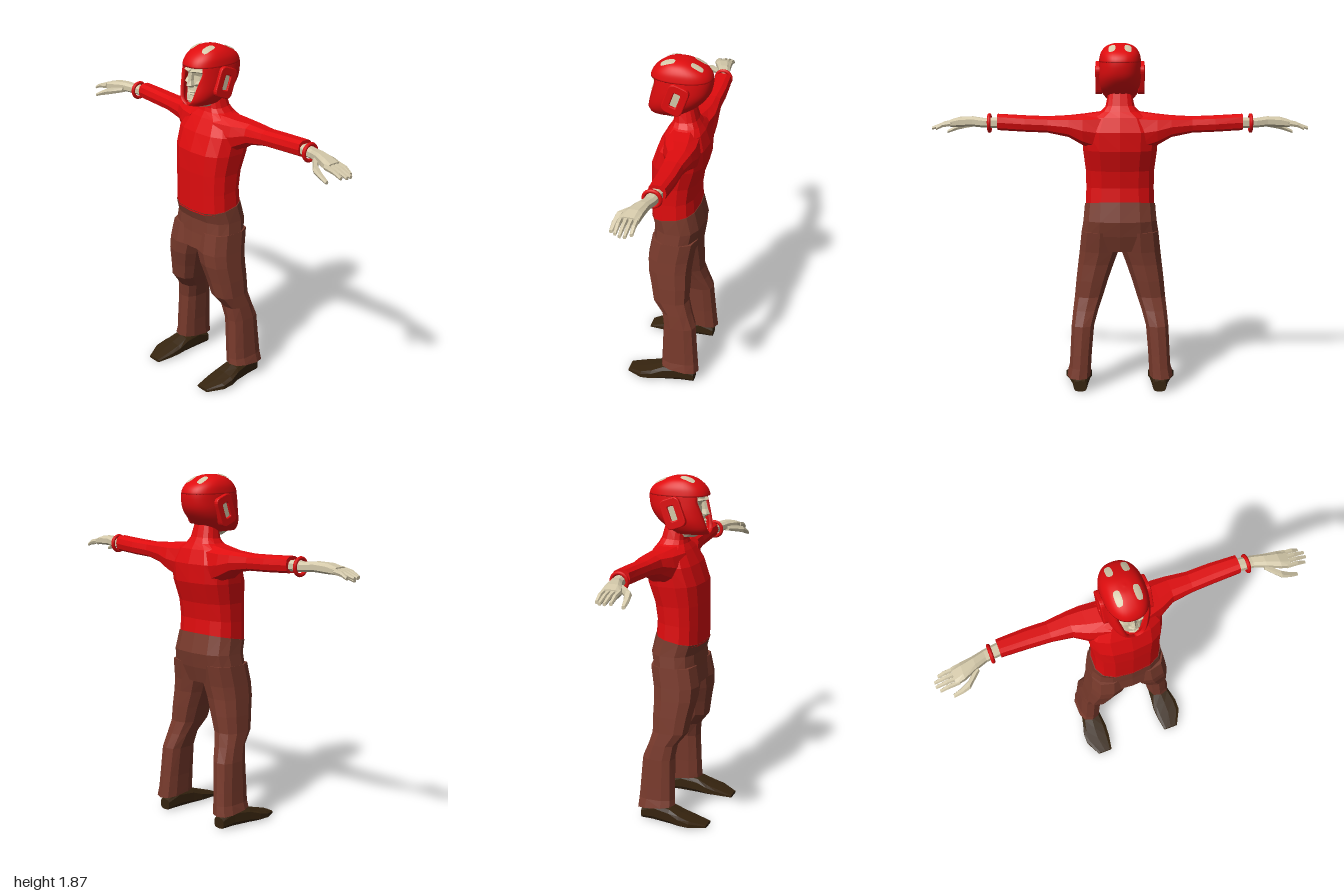
import * as THREE from 'three';

const mat = (name, color) => Object.assign(new THREE.MeshStandardMaterial({ color }), { name });
const V = (x, y, z) => new THREE.Vector3(x, y, z);
const pow = (c, p) => Math.sign(c) * Math.abs(c) ** p;
const lerp = THREE.MathUtils.lerp;

// Rounded-box cross-section across an axis; u and v are the two other axes
function ring(axis, at, u0, u1, v0, v1, n = 10, tilt = 0, p = 0.75) {
  return Array.from({ length: n }, (_, i) => {
    const a = ((i + 0.5) / n) * Math.PI * 2;
    const c = pow(Math.cos(a), p), s = pow(Math.sin(a), p);
    const u = (u0 + u1) / 2 + c * (u1 - u0) / 2, v = (v0 + v1) / 2 + s * (v1 - v0) / 2;
    if (axis === 'y') return V(u, at + tilt * s, v);
    return axis === 'x' ? V(at, u, v) : V(u, v, at);
  });
}

// Skin closed loops into a solid with end caps; faces are turned outward
function loft(rings, smooth = false) {
  const n = rings[0].length, pos = [], idx = [];
  rings.forEach(r => r.forEach(q => pos.push(q.x, q.y, q.z)));
  for (let j = 0; j < rings.length - 1; j++) for (let i = 0; i < n; i++) {
    const a = j * n + i, b = j * n + (i + 1) % n;
    idx.push(a, b, b + n, a, b + n, a + n);
  }
  [0, rings.length - 1].forEach(k => {
    const base = pos.length / 3;
    const flat = rings[k];
    flat.forEach(q => pos.push(q.x, q.y, q.z));
    // Pair opposite corners across the loop, which also suits C-shaped loops
    for (let i = 0; i < n / 2 - 1; i++) {
      const a = base + i, b = base + i + 1, c = base + n - 2 - i, d = base + n - 1 - i;
      if (k) idx.push(a, b, c, a, c, d);
      else idx.push(a, c, b, a, d, c);
    }
  });
  const at = i => V(pos[3 * i], pos[3 * i + 1], pos[3 * i + 2]);
  let volume = 0;
  for (let i = 0; i < idx.length; i += 3) volume += at(idx[i]).dot(at(idx[i + 1]).cross(at(idx[i + 2])));
  if (volume < 0) idx.reverse();
  let g = new THREE.BufferGeometry();
  g.setAttribute('position', new THREE.Float32BufferAttribute(pos, 3));
  g.setIndex(idx);
  if (!smooth) g = g.toNonIndexed();
  g.computeVertexNormals();
  return g;
}

// Helmet shell: rows of height, half width, front z, back z
const ROWS = [
  [1.572, 0.07, 0.13, -0.07], [1.6, 0.092, 0.14, -0.1], [1.64, 0.11, 0.136, -0.148],
  [1.69, 0.116, 0.13, -0.185], [1.74, 0.114, 0.128, -0.198], [1.785, 0.11, 0.122, -0.196],
  [1.82, 0.101, 0.1, -0.17], [1.85, 0.078, 0.06, -0.115], [1.866, 0.042, 0.02, -0.07], [1.87, 0.004, -0.02, -0.028],
];
const sizeCurve = new THREE.CatmullRomCurve3(ROWS.map(r => V(r[1], r[2], r[3])), false, 'catmullrom', 0.5);
const heightCurve = new THREE.CatmullRomCurve3(ROWS.map(r => V(r[0], 0, 0)), false, 'catmullrom', 0.5);
const ROUND = 0.85;
function shell(row, a, inset = 0) {
  const d = sizeCurve.getPoint(row / 9), y = heightCurve.getPoint(row / 9).x;
  return V(pow(Math.sin(a), ROUND) * (d.x - inset), y,
    (d.y + d.z) / 2 + pow(Math.cos(a), ROUND) * ((d.y - d.z) / 2 - inset));
}
function crownHeight(x, z) {
  let lo = 4, hi = 9;
  for (let k = 0; k < 24; k++) {
    const m = (lo + hi) / 2, d = sizeCurve.getPoint(m / 9);
    const f = Math.abs(x / d.x) ** (2 / ROUND) + Math.abs((z - (d.y + d.z) / 2) / ((d.y - d.z) / 2)) ** (2 / ROUND);
    if (f < 1) lo = m; else hi = m;
  }
  return heightCurve.getPoint(lo / 9).x;
}

function roundedPath(path, w, h, r) {
  path.moveTo(-w + r, -h);
  path.lineTo(w - r, -h).quadraticCurveTo(w, -h, w, -h + r);
  path.lineTo(w, h - r).quadraticCurveTo(w, h, w - r, h);
  path.lineTo(-w + r, h).quadraticCurveTo(-w, h, -w, h - r);
  path.lineTo(-w, -h + r).quadraticCurveTo(-w, -h, -w + r, -h);
  return path;
}

export function createModel() {
  const red = mat('red', 0xdf0c0e), skin = mat('skin', 0xd3c8a9);
  const brown = mat('trouserBrown', 0x783a2c), dark = mat('shoeBrown', 0x36240f);
  const root = new THREE.Group();
  root.name = 'figure';
  const add = (name, geo, m) => {
    const mesh = new THREE.Mesh(geo, m);
    mesh.name = name;
    root.add(mesh);
    return mesh;
  };

  // Sweater body with collar: height, half width, front, back, tilt
  add('sweater', loft([
    [1.0, 0.188, 0.109, -0.143, -0.025], [1.1, 0.184, 0.11, -0.137, -0.01], [1.2, 0.186, 0.111, -0.15, 0],
    [1.31, 0.2, 0.107, -0.186, 0], [1.41, 0.205, 0.072, -0.19, 0], [1.485, 0.16, 0.03, -0.165, 0],
    [1.515, 0.1, 0.01, -0.145, 0], [1.54, 0.078, 0.003, -0.128, -0.005], [1.59, 0.066, 0, -0.11, -0.02],
  ].map(([y, w, f, b, t]) => ring('y', y, -w, w, b, f, 14, t))), red);

  // Trouser seat
  add('trouserSeat', loft([
    [1.01, 0.192, 0.11, -0.145, -0.025], [0.93, 0.2, 0.092, -0.17, 0], [0.85, 0.212, 0.097, -0.155, 0],
    [0.765, 0.2, 0.108, -0.13, 0],
  ].map(([y, w, f, b, t]) => ring('y', y, -w, w, b, f, 14, t))), brown);

  for (const s of [1, -1]) {
    const side = s > 0 ? 'left' : 'right';
    const alongX = (rows, n, p) => loft(rows.map(([x, t, b, f, k]) => ring('x', s * x, b, t, k, f, n, 0, p)));

    // Trouser leg: height, inner x, outer x, front, back
    add(side + 'TrouserLeg', loft([
      [0.87, 0.002, 0.21, 0.095, -0.155], [0.76, 0.004, 0.222, 0.115, -0.137], [0.69, 0.03, 0.23, 0.111, -0.13],
      [0.6, 0.062, 0.24, 0.09, -0.13], [0.51, 0.09, 0.248, 0.073, -0.127], [0.44, 0.115, 0.256, 0.018, -0.145],
      [0.36, 0.138, 0.264, 0.008, -0.175], [0.2, 0.152, 0.272, 0.012, -0.188], [0.13, 0.156, 0.276, 0.013, -0.194],
      [0.085, 0.158, 0.288, 0.015, -0.2],
    ].map(([y, i, o, f, b]) => ring('y', y, s * i, s * o, b, f, 10, y < 0.1 ? 0.012 : 0))), brown);

    // Shoe, heel to toe: z, inner x, outer x, top
    add(side + 'Shoe', loft([
      [-0.175, 0.18, 0.25, 0.06], [-0.1, 0.172, 0.262, 0.1], [0, 0.163, 0.285, 0.09],
      [0.06, 0.155, 0.302, 0.062], [0.12, 0.158, 0.302, 0.042], [0.205, 0.172, 0.257, 0.016],
    ].map(([z, i, o, t]) => ring('z', z, s * i, s * o, 0, t, 10, 0, 0.6))), dark);

    // Sleeve: x, top, bottom, front, back
    add(side + 'Sleeve', alongX([
      [0.09, 1.515, 1.29, 0.045, -0.17], [0.195, 1.502, 1.335, 0.01, -0.176], [0.27, 1.495, 1.38, -0.028, -0.167],
      [0.38, 1.489, 1.403, -0.04, -0.152], [0.5, 1.494, 1.408, -0.045, -0.152], [0.645, 1.502, 1.416, -0.048, -0.142],
    ], 10), red);

    // Wrist and palm
    add(side + 'Hand', alongX([
      [0.62, 1.485, 1.425, -0.06, -0.13], [0.72, 1.479, 1.428, -0.052, -0.116], [0.78, 1.486, 1.432, -0.028, -0.1],
      [0.85, 1.482, 1.428, 0.003, -0.092], [0.9, 1.467, 1.428, 0.014, -0.088],
    ], 8), skin);
    [[-0.074, 0.975], [-0.049, 1], [-0.024, 1], [0.002, 0.985]].forEach(([z, tip], i) => {
      add(side + 'Finger' + (i + 1), alongX([
        [0.88, 1.466, 1.436, z + 0.0125, z - 0.0125], [0.94, 1.454, 1.428, z + 0.012, z - 0.012],
        [tip, 1.43, 1.412, z + 0.009, z - 0.009],
      ], 6), skin);
    });
    add(side + 'Thumb', alongX([
      [0.77, 1.46, 1.43, -0.02, -0.06], [0.84, 1.452, 1.412, 0.046, 0.005],
      [0.88, 1.43, 1.402, 0.052, 0.02], [0.93, 1.403, 1.385, 0.05, 0.03],
    ], 6), skin);

    // Wristband
    const band = add(side + 'Wristband', new THREE.TorusGeometry(0.042, 0.01, 8, 24), red);
    band.position.set(s * 0.69, 1.452, -0.085);
    band.rotation.set(0, Math.PI / 2, s * 0.1);

    // Ear pad with a slanted slot
    const pad = roundedPath(new THREE.Shape(), 0.052, 0.076, 0.03);
    pad.holes.push(roundedPath(new THREE.Path(), 0.023, 0.044, 0.014));
    const padGeo = new THREE.ExtrudeGeometry(pad, {
      depth: 0.026, bevelThickness: 0.005, bevelSize: 0.005, bevelSegments: 2, curveSegments: 5,
    });
    const slotGeo = new THREE.ShapeGeometry(roundedPath(new THREE.Shape(), 0.024, 0.045, 0.014));
    [[padGeo, red, 'EarPad', 0.099], [slotGeo, skin, 'EarOpening', 0.119]].forEach(([g, m, name, x]) => {
      const part = add(side + name, g, m);
      part.position.set(s * x, 1.688, -0.032);
      part.rotation.set(0, s * Math.PI / 2, -s * 0.35);
    });

    // Crown vents laid on the shell
    [[0.05, 0.025, 0.018, 0.038, 'FrontVent'], [0.042, -0.125, 0.018, 0.032, 'RearVent']].forEach(([cx, cz, rx, rz, name]) => {
      const g = new THREE.RingGeometry(0.001, 1, 24, 4), q = g.attributes.position;
      for (let i = 0; i < q.count; i++) {
        const a = Math.atan2(q.getY(i), q.getX(i)), r = Math.hypot(q.getX(i), q.getY(i));
        const x = s * cx + pow(Math.cos(a), 0.65) * r * rx, z = cz - pow(Math.sin(a), 0.65) * r * rz;
        q.setXYZ(i, x, crownHeight(x, z) + 0.005, z);
      }
      g.computeVertexNormals();
      add(side + name, g, skin);
    });

    // Brow ridge and cheekbone
    add(side + 'Brow', loft([[0.006, 1.757, 1.738, 0.114], [0.045, 1.762, 1.744, 0.108], [0.08, 1.755, 1.738, 0.07]]
      .map(([x, t, b, f]) => ring('x', s * x, b, t, 0.03, f, 6))), skin);
    add(side + 'Cheek', loft([[0.028, 1.7, 1.66, 0.1], [0.05, 1.705, 1.67, 0.098], [0.076, 1.705, 1.68, 0.065]]
      .map(([x, t, b, f]) => ring('x', s * x, b, t, 0.02, f, 6))), skin);
  }

  // Head and neck
  add('neck', loft([[1.54, 0.055, -0.005, -0.1], [1.63, 0.055, 0, -0.1]]
    .map(([y, w, f, b]) => ring('y', y, -w, w, b, f, 10))), skin);
  add('head', loft([
    [1.55, 0.035, 0.05, -0.07], [1.575, 0.05, 0.1, -0.075], [1.6, 0.062, 0.108, -0.09], [1.64, 0.072, 0.1, -0.12],
    [1.69, 0.084, 0.093, -0.15], [1.725, 0.088, 0.088, -0.16], [1.75, 0.088, 0.1, -0.165], [1.8, 0.08, 0.09, -0.15],
  ].map(([y, w, f, b]) => ring('y', y, -w, w, b, f, 14))), skin);
  add('nose', loft([[1.745, 0.009, 0.108], [1.7, 0.011, 0.12], [1.675, 0.02, 0.13], [1.664, 0.016, 0.112]]
    .map(([y, w, f]) => ring('y', y, -w, w, 0.06, f, 6))), skin);
  [[1.64, 0.026, 0.113, 'upperLip'], [1.626, 0.022, 0.112, 'lowerLip'], [1.594, 0.026, 0.117, 'chin']].forEach(([y, w, f, name]) =>
    add(name, loft([-1, 0, 1].map(k => ring('x', k * w, y - 0.006, y + 0.006, 0.07, f - 0.01 * k * k, 6))), skin));

  // Helmet crown, closed underneath
  const SEG = 40, turn = i => (i / SEG) * Math.PI * 2;
  const crown = [Array.from({ length: SEG }, (_, i) => shell(4.7, turn(i), 0.02))];
  for (let j = 0; j <= 24; j++) {
    crown.push(Array.from({ length: SEG }, (_, i) => shell(lerp(4.7, 9, j / 24), turn(i))));
  }
  add('helmetCrown', loft(crown, true), red);

  // Helmet lower guard: thick C-shaped loops around the face opening
  const opening = [0.02, 0.42, 0.46, 0.56, 0.74, 0.74];
  const guard = Array.from({ length: 17 }, (_, j) => {
    const row = (j / 16) * 4.72, k = Math.floor(row);
    const a0 = lerp(opening[k], opening[k + 1], row - k);
    const arc = inset => Array.from({ length: SEG }, (_, i) => shell(row, lerp(a0, Math.PI * 2 - a0, i / (SEG - 1)), inset));
    return [...arc(0), ...arc(0.016).reverse()];
  });
  add('helmetGuard', loft(guard, true), red);

  return root;
}
